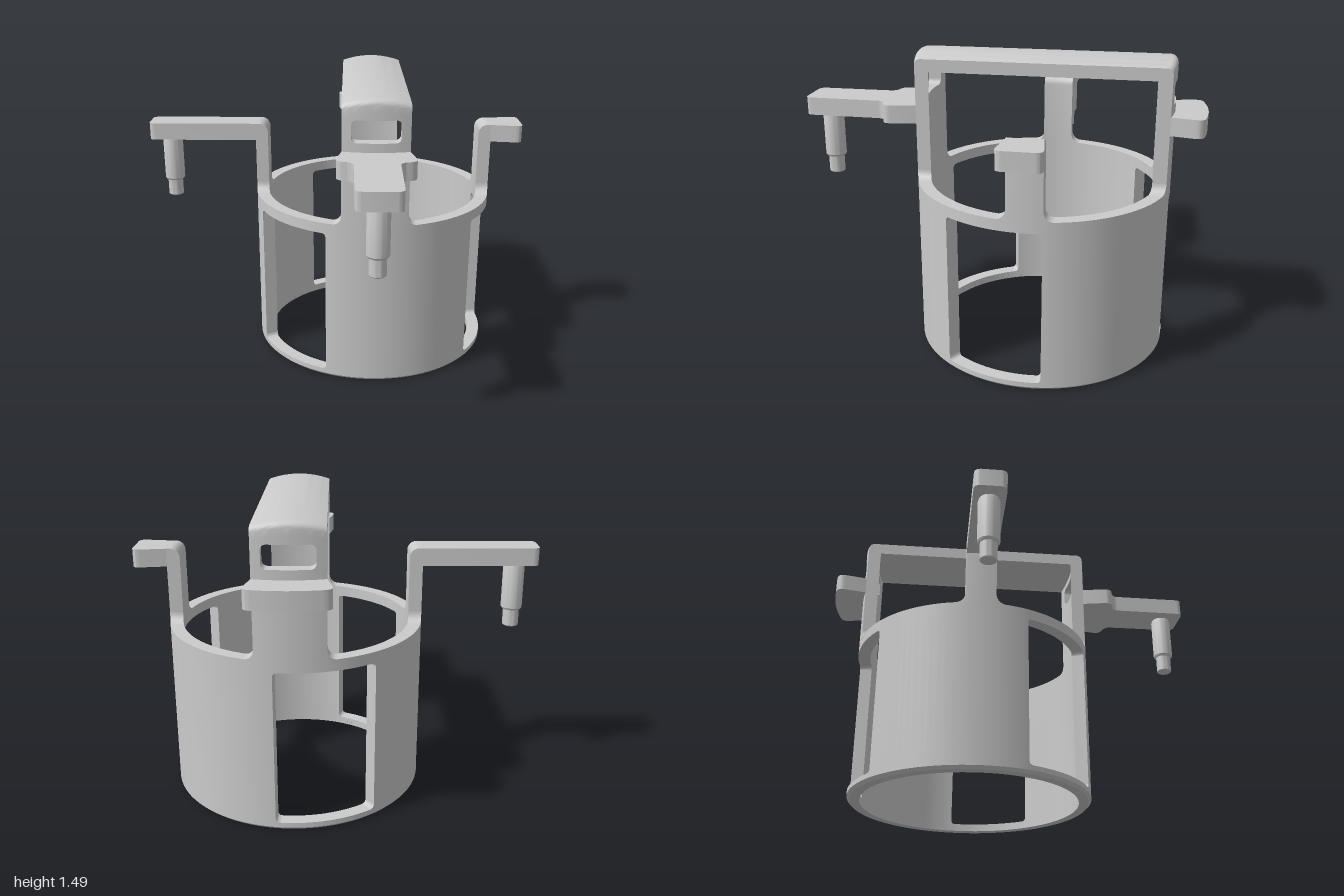
import * as THREE from 'three';
import { toCreasedNormals } from 'three/addons/utils/BufferGeometryUtils.js';

const RO = 0.635, RI = 0.57;            // sleeve radii
const RIM = 0.86, TOP = 1.235, TAB = 0.09;
const material = new THREE.MeshStandardMaterial({ color: 0xcccccc });

const add = (parent, name, geometry) => {
  const mesh = new THREE.Mesh(toCreasedNormals(geometry, 0.5), material);
  mesh.name = name;
  parent.add(mesh);
  return mesh;
};

// Samples from a to b, packed closer together at both ends
const span = (a, b, n) =>
  Array.from({ length: n + 1 }, (_, i) => (a + b) / 2 - ((b - a) / 2) * Math.cos((Math.PI * i) / n));

// Height of a quarter-round fillet of radius c at distance d from its wall
const fillet = (d, c) => (d < c ? c - Math.sqrt(Math.max(0, c * c - (c - d) ** 2)) : 0);

// Closed solid through equal convex loops of [x, y, z] points
function loft(loops) {
  const pos = [], n = loops[0].length, last = loops[loops.length - 1];
  const tri = (a, b, c) => pos.push(...a, ...b, ...c);
  for (let i = 0; i + 1 < loops.length; i++) {
    const p = loops[i], q = loops[i + 1];
    for (let j = 0; j < n; j++) {
      const k = (j + 1) % n;
      tri(p[j], q[j], q[k]);
      tri(p[j], q[k], p[k]);
    }
  }
  for (let j = 1; j + 1 < n; j++) {
    tri(loops[0][0], loops[0][j], loops[0][j + 1]);
    tri(last[0], last[j + 1], last[j]);
  }
  // Turn all faces outward
  let volume = 0;
  const v = (i) => new THREE.Vector3().fromArray(pos, i);
  for (let i = 0; i < pos.length; i += 9) volume += v(i).dot(v(i + 3).cross(v(i + 6)));
  if (volume < 0) {
    for (let i = 0; i < pos.length; i += 9) {
      const b = pos.slice(i + 3, i + 6);
      for (let k = 0; k < 3; k++) { pos[i + 3 + k] = pos[i + 6 + k]; pos[i + 6 + k] = b[k]; }
    }
  }
  const geo = new THREE.BufferGeometry();
  geo.setAttribute('position', new THREE.Float32BufferAttribute(pos, 3));
  return geo;
}

// Curved wall between the sleeve radii, from lo(u) to hi(u)
const polar = (u, r) => [r * Math.cos(u), r * Math.sin(u)];
const straight = (u, r) => [u, Math.sqrt(r * r - u * u)];
function wall(us, lo, hi, place, round = 0) {
  return loft(us.map((u) => {
    const at = (r, y) => { const [x, z] = place(u, r); return [x, y, z]; };
    const a = lo(u), b = hi(u), loop = [at(RO, a), at(RO, b)];
    if (round) {
      for (let i = 0; i <= 6; i++) {
        const t = (Math.PI / 2) * (i / 6);
        loop.push(at(RI + round * (1 - Math.sin(t)), b - round * (1 - Math.cos(t))));
      }
    } else loop.push(at(RI, b));
    loop.push(at(RI, a));
    return loop;
  }));
}

// Sleeve with three tall windows
function sleeve() {
  const g = new THREE.Group();
  g.name = 'sleeve';
  const half = Math.PI / 8, third = (Math.PI * 2) / 3;
  for (let i = 0; i < 3; i++) {
    const c = Math.PI / 12 + i * third;
    const corner = (u) => fillet((half - Math.abs(u - c)) * RO, 0.02);
    const gap = span(c - half, c + half, 28);
    add(g, 'sleeveWall', wall(span(c + half, c + third - half, 32), () => 0.015, () => RIM, polar));
    add(g, 'windowSill', wall(gap, () => 0.015, (u) => 0.04 + corner(u), polar));
    add(g, 'windowHead', wall(gap, (u) => 0.805 - corner(u), () => RIM, polar));
  }
  const edge = [[RI, 0.015], [RI, 0], [RO - 0.015, 0], [RO, 0.015]].map((p) => new THREE.Vector2(...p));
  add(g, 'bottomEdge', new THREE.LatheGeometry(edge, 96));
  return g;
}

// Upright base fillets on both sides
function baseFillets(g, h, f) {
  for (const s of [-1, 1]) {
    add(g, 'uprightFillet',
      wall(span(s * h, s * (h + f), 10), () => RIM, (u) => RIM + fillet(Math.abs(u) - h, f), straight));
  }
}

// Flat tab growing outward from the sleeve; half outline as [x, r, corner radius]
function tab(g, half) {
  const pts = [...half, ...half.filter((p) => p[0] > 0).reverse().map(([x, r, c]) => [-x, r, c])];
  const v = pts.map(([x, r]) => new THREE.Vector2(x, r));
  const s = new THREE.Shape();
  s.moveTo(v[0].x, v[0].y);
  for (let i = 1; i < v.length - 1; i++) {
    const toward = (w) => w.clone().sub(v[i]).setLength(pts[i][2]).add(v[i]);
    const a = toward(v[i - 1]), b = toward(v[i + 1]);
    s.lineTo(a.x, a.y);
    s.quadraticCurveTo(v[i].x, v[i].y, b.x, b.y);
  }
  const end = v[v.length - 1];
  s.lineTo(end.x, end.y);
  s.absarc(0, 0, RO, Math.atan2(end.y, end.x), Math.atan2(v[0].y, v[0].x), true);
  const geo = new THREE.ExtrudeGeometry(s, { depth: TAB, bevelEnabled: false, curveSegments: 10 });
  add(g, 'tab', geo.rotateX(Math.PI / 2).translate(0, TOP, 0));
}

// Stepped pin hanging from an arm
function pin(g, r) {
  const profile = [[0, 0.815], [0.035, 0.815], [0.04, 0.82], [0.04, 0.905], [0.047, 0.905],
    [0.053, 0.915], [0.053, 1.13], [0.048, 1.146]].map((p) => new THREE.Vector2(...p));
  add(g, 'pin', new THREE.LatheGeometry(profile, 32)).position.z = r;
}

const rootAt = (h) => [h, Math.sqrt(RO * RO - h * h), 0];
const crown = (x) => 1.49 - 0.92 * x * x;       // arched top of the bridge
const underside = (x) => crown(x) - 0.062;
const W = 0.165, SLOT = 0.12;

// Tall upright with a slot below the bridge
function tallUpright(name, outline) {
  const g = new THREE.Group();
  g.name = name;
  const round = (u) => fillet(SLOT - Math.abs(u), 0.025);
  const mid = span(-SLOT, SLOT, 20);
  baseFillets(g, W, 0.045);
  for (const s of [-1, 1]) add(g, 'uprightPost', wall(span(s * SLOT, s * W, 4), () => RIM, underside, straight));
  add(g, 'uprightPanel', wall(mid, () => RIM, (u) => 1.28 + round(u), straight));
  add(g, 'slotHead', wall(mid, (u) => 1.39 - round(u), underside, straight));
  tab(g, [rootAt(W), ...outline]);
  return g;
}

// Short upright that bends outward into a tab
function shortUpright(name, h, outline) {
  const g = new THREE.Group();
  g.name = name;
  baseFillets(g, h, 0.05);
  add(g, 'uprightPost', wall(span(-h, h, 10), () => RIM, () => TOP, straight, 0.045));
  tab(g, [rootAt(h), ...outline]);
  return g;
}

// Arched bridge joining the tall uprights, with rounded outer corners
function bridge() {
  const c = 0.03;
  return loft(span(-W, W, 20).map((x) => {
    const z = Math.sqrt(RO * RO - x * x), t = crown(x), side = [[z, underside(x)]];
    for (let i = 0; i <= 6; i++) {
      const a = (Math.PI / 2) * (i / 6);
      side.push([z - c + c * Math.cos(a), t - c + c * Math.sin(a)]);
    }
    return [...side, ...side.map(([p, q]) => [-p, q]).reverse()].map(([p, q]) => [x, q, p]);
  }));
}

export function createModel() {
  const model = new THREE.Group();
  model.name = 'bracketedSleeve';
  const body = new THREE.Group();
  body.name = 'body';
  body.position.set(0.205, 0, -0.21);
  model.add(body);

  body.add(sleeve());
  add(body, 'bridge', bridge());

  const front = tallUpright('frontUpright',
    [[0.195, 0.775, 0.045], [0.108, 0.795, 0.035], [0.105, 1.208, 0.035]]);
  pin(front, 1.105);

  const back = tallUpright('backUpright', [[0.198, 0.768, 0.045], [0, 0.8, 0.12]]);
  back.rotation.y = Math.PI;

  const left = shortUpright('leftUpright', 0.085, [[0.108, 0.795, 0.04]]);
  left.rotation.y = Math.PI / 2;

  const right = shortUpright('rightUpright', 0.078, [[0.078, 1.205, 0.035]]);
  right.rotation.y = -Math.PI / 2;
  pin(right, 1.095);

  body.add(front, back, left, right);
  return model;
}
